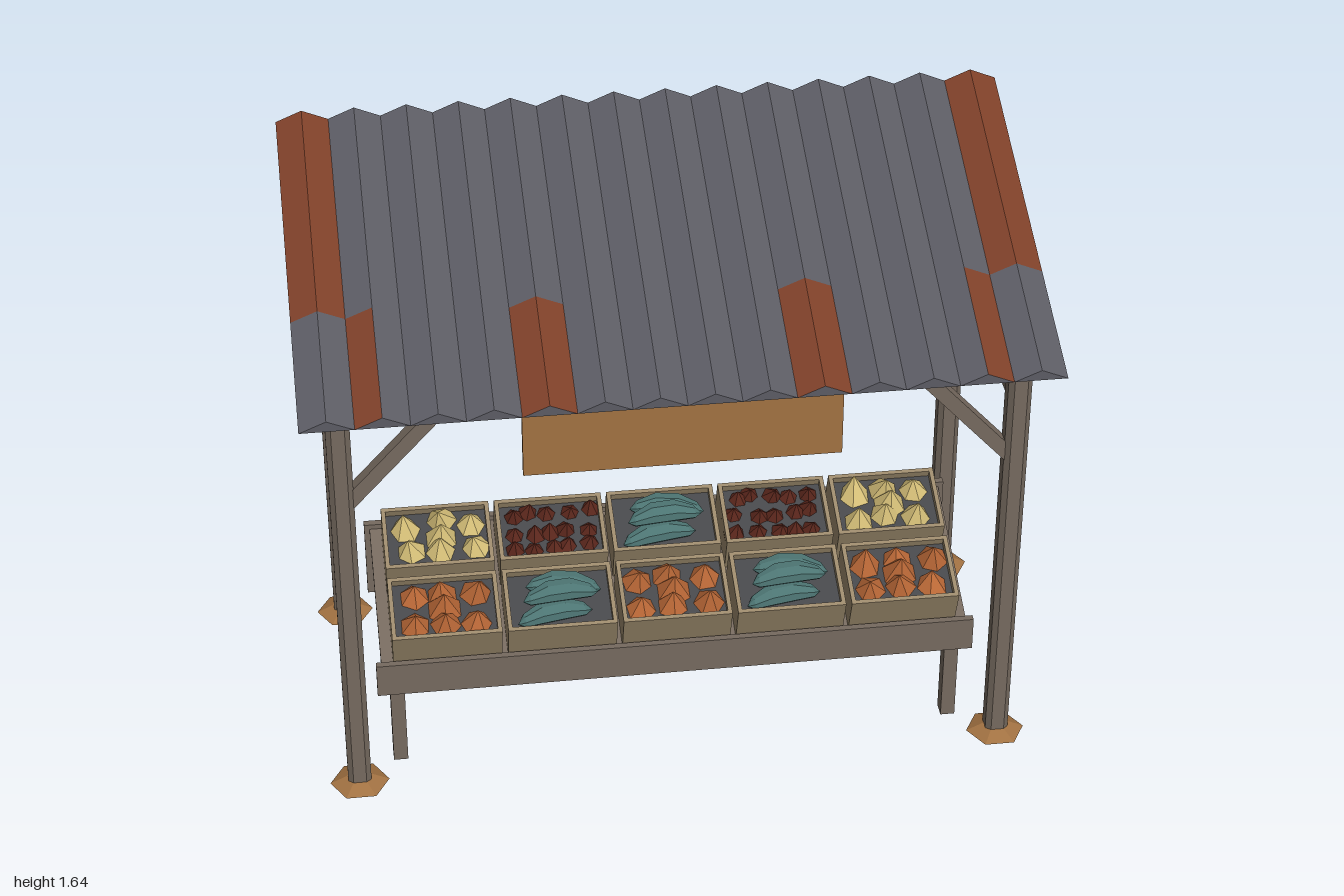
import * as THREE from 'three';

const mat = (name, color, side = THREE.FrontSide) =>
  Object.assign(new THREE.MeshStandardMaterial({ color, flatShading: true, side }), { name });

export function createModel() {
  const model = new THREE.Group();
  model.name = 'marketStall';
  const M = {
    wood: mat('weatheredWood', 0x766a5f),
    roof: mat('roofGrey', 0x5c5c64),
    rust: mat('rust', 0x7e4029),
    crate: mat('crateWood', 0x9c8a6c),
    sign: mat('signBrown', 0xa27242),
    fill: mat('crateBedding', 0x47484b),
    yellow: mat('yellowProduce', 0xdcc57c),
    orange: mat('orangeProduce', 0xbd6a38),
    red: mat('darkRedProduce', 0x5e281d),
    teal: mat('tealFish', 0x4c7472),
  };

  const add = (parent, name, geo, material, x = 0, y = 0, z = 0) => {
    const m = new THREE.Mesh(geo, material);
    m.name = name;
    m.position.set(x, y, z);
    parent.add(m);
    return m;
  };
  // box given by its min and max on each axis
  const box = (parent, name, material, [x0, x1], [y0, y1], [z0, z1]) =>
    add(parent, name, new THREE.BoxGeometry(x1 - x0, y1 - y0, z1 - z0), material,
      (x0 + x1) / 2, (y0 + y1) / 2, (z0 + z1) / 2);

  let seed = 7;
  const rnd = () => (seed = (seed * 16807) % 2147483647) / 2147483647;
  const jitter = (a) => (rnd() - 0.5) * 2 * a;

  // Roof: triangular ridges on a flat sloping underside, with rust patches
  const under = (z) => 1.43 - 0.36 * z;
  const RIDGE = 0.03, N = 28, STEP = 2 / N, SPLIT = 0.16;
  const grey = [], rust = [];
  const tri = (out, ...pts) => pts.forEach((p) => out.push(...p));
  const quad = (out, a, b, c, d) => { tri(out, a, b, c); tri(out, a, c, d); };
  const pt = (i, z) => [-1 + i * STEP, under(z) + (i % 2 ? RIDGE : 0), z];
  const rustBack = [0, 1, 26, 27], rustFront = [2, 8, 9, 18, 19, 25];
  for (let i = 0; i < N; i++) {
    const facet = (out, f, b) => quad(out, pt(i, f), pt(i + 1, f), pt(i + 1, b), pt(i, b));
    facet(rustFront.includes(i) ? rust : grey, 0.5, SPLIT);
    facet(rustBack.includes(i) ? rust : grey, SPLIT, -0.5);
    if (i % 2 === 0) {
      tri(grey, pt(i, 0.5), pt(i + 2, 0.5), pt(i + 1, 0.5));
      tri(grey, pt(i + 2, -0.5), pt(i, -0.5), pt(i + 1, -0.5));
    }
  }
  quad(grey, pt(0, 0.5), pt(0, -0.5), pt(N, -0.5), pt(N, 0.5));
  for (const [name, data, material] of [['roofSheet', grey, M.roof], ['roofRust', rust, M.rust]]) {
    const g = new THREE.BufferGeometry();
    g.setAttribute('position', new THREE.Float32BufferAttribute(data, 3));
    g.computeVertexNormals();
    add(model, name, g, material);
  }

  // Cross beams under the roof, tops cut to its slope
  const beam = (name, z0, z1, y0) => {
    const s = new THREE.Shape([[z0, y0], [z1, y0], [z1, under(z1)], [z0, under(z0)]]
      .map(([z, y]) => new THREE.Vector2(-z, y)).reverse());
    const g = new THREE.ExtrudeGeometry(s, { depth: 1.94, bevelEnabled: false });
    g.rotateY(Math.PI / 2).translate(-0.97, 0, 0);
    add(model, name, g, M.wood);
  };
  beam('frontBeam', 0.345, 0.42, 1.2);
  beam('backBeam', -0.46, -0.383, 1.49);

  // Chamfered post cross-section
  const h = 0.032, c = 0.018;
  const postShape = new THREE.Shape([[h, -c], [h, c], [c, h], [-c, h], [-h, c], [-h, -c], [-c, -h], [c, -h]]
    .map(([x, y]) => new THREE.Vector2(x, y)));

  for (const s of [-1, 1]) {
    for (const [label, z, top] of [['front', 0.38, 1.2], ['back', -0.42, 1.49]]) {
      const post = new THREE.ExtrudeGeometry(postShape, { depth: top, bevelEnabled: false });
      post.rotateX(-Math.PI / 2);
      add(model, label + 'Post', post, M.wood, s * 0.9, 0, z);
      const foot = new THREE.CylinderGeometry(0.035, 0.082, 0.022, 6);
      foot.rotateY(Math.PI / 2);
      add(model, label + 'Foot', foot, M.sign, s * 0.9, 0.011, z);
      // diagonal brace from post to beam
      const brace = add(model, label + 'Brace', new THREE.BoxGeometry(0.04, 0.38, 0.04), M.wood,
        s * 0.77, top - 0.125, z);
      brace.rotation.z = s * 0.74;
    }
    box(model, 'sideRail', M.wood, [s * 0.9 - 0.025, s * 0.9 + 0.025], [1.117, 1.183], [-0.4, 0.36]);
    // table legs
    box(model, 'frontTableLeg', M.wood, [s * 0.78 - 0.02, s * 0.78 + 0.02], [0, 0.305], [0.256, 0.3]);
    box(model, 'backTableLeg', M.wood, [s * 0.78 - 0.02, s * 0.78 + 0.02], [0, 0.45], [-0.13, -0.09]);
  }

  // Blank hanging board
  box(model, 'signBoard', M.sign, [-0.425, 0.42], [1.025, 1.222], [0.42, 0.435]);

  // Table boards
  box(model, 'tableFrontBoard', M.wood, [-0.835, 0.835], [0.245, 0.345], [0.298, 0.318]);
  box(model, 'tableBackBoard', M.wood, [-0.835, 0.835], [0.262, 0.497], [-0.165, -0.143]);

  // Sloping display: everything here lies in the tilted frame of the table top
  const display = new THREE.Group();
  display.name = 'display';
  display.position.set(0, 0.326, 0.287);
  display.rotation.x = THREE.MathUtils.degToRad(20);
  model.add(display);
  box(display, 'tableTop', M.wood, [-0.82, 0.82], [-0.025, 0], [-0.47, 0.005]);

  const W = 0.151, D = 0.102, H = 0.122, T = 0.012;

  // Heap of pointed produce in a jittered grid
  const heap = (parent, name, material, cols, rows, r, height) => {
    for (let i = 0; i < cols; i++) for (let j = 0; j < rows; j++) {
      const k = height * (0.85 + rnd() * 0.3);
      const x = ((i + 0.5) / cols - 0.5) * 0.27 + jitter(0.012);
      const z = ((j + 0.5) / rows - 0.5) * 0.18 + jitter(0.01);
      const cone = add(parent, name, new THREE.ConeGeometry(r, k, 6), material, x, 0.09 + k / 2, z);
      cone.rotation.set(jitter(0.15), rnd() * 3, jitter(0.15));
    }
  };
  // Fish: tapered low-poly bodies bent into a shallow arc
  const fish = (parent) => {
    [[-0.02, 0.112, 0.045, 0.15], [0.015, 0.115, -0.045, -0.12], [0, 0.142, 0, 0.08]].forEach(([x, y, z, turn]) => {
      const g = new THREE.SphereGeometry(1, 8, 5);
      g.rotateZ(Math.PI / 2).scale(0.105, 0.028, 0.036);
      const p = g.attributes.position;
      for (let i = 0; i < p.count; i++) p.setZ(i, p.getZ(i) + 2.2 * p.getX(i) ** 2 - 0.008);
      add(parent, 'fish', g, M.teal, x, y, z).rotation.y = turn;
    });
  };
  const fillers = {
    orange: (p) => {
      heap(p, 'orangeProduce', M.orange, 3, 2, 0.05, 0.07);
      add(p, 'orangeProduce', new THREE.ConeGeometry(0.05, 0.075, 6), M.orange, 0, 0.138, 0);
    },
    yellow: (p) => {
      heap(p, 'yellowProduce', M.yellow, 3, 2, 0.048, 0.07);
      add(p, 'yellowProduce', new THREE.ConeGeometry(0.048, 0.075, 6), M.yellow, 0.01, 0.135, 0);
    },
    red: (p) => heap(p, 'darkRedProduce', M.red, 5, 3, 0.034, 0.048),
    teal: fish,
  };

  // Two rows of open crates
  const rows = [
    ['orange', 'teal', 'orange', 'teal', 'orange'],
    ['yellow', 'red', 'teal', 'red', 'yellow'],
  ];
  rows.forEach((row, r) => row.forEach((kind, i) => {
    const crate = new THREE.Group();
    crate.name = kind + 'Crate';
    crate.position.set((i - 2) * 0.318, 0, -D - r * 0.236);
    display.add(crate);
    box(crate, 'crateBase', M.crate, [-W, W], [0, T], [-D, D]);
    box(crate, 'crateFill', M.fill, [-W + T, W - T], [T, 0.1], [-D + T, D - T]);
    for (const s of [-1, 1]) {
      const e = (a) => [s * a - T / 2, s * a + T / 2];
      box(crate, 'crateSide', M.crate, e(W - T / 2), [0, H], [-D, D]);
      box(crate, 'crateEnd', M.crate, [-W + T, W - T], [0, H], e(D - T / 2));
    }
    fillers[kind](crate);
  }));

  return model;
}
